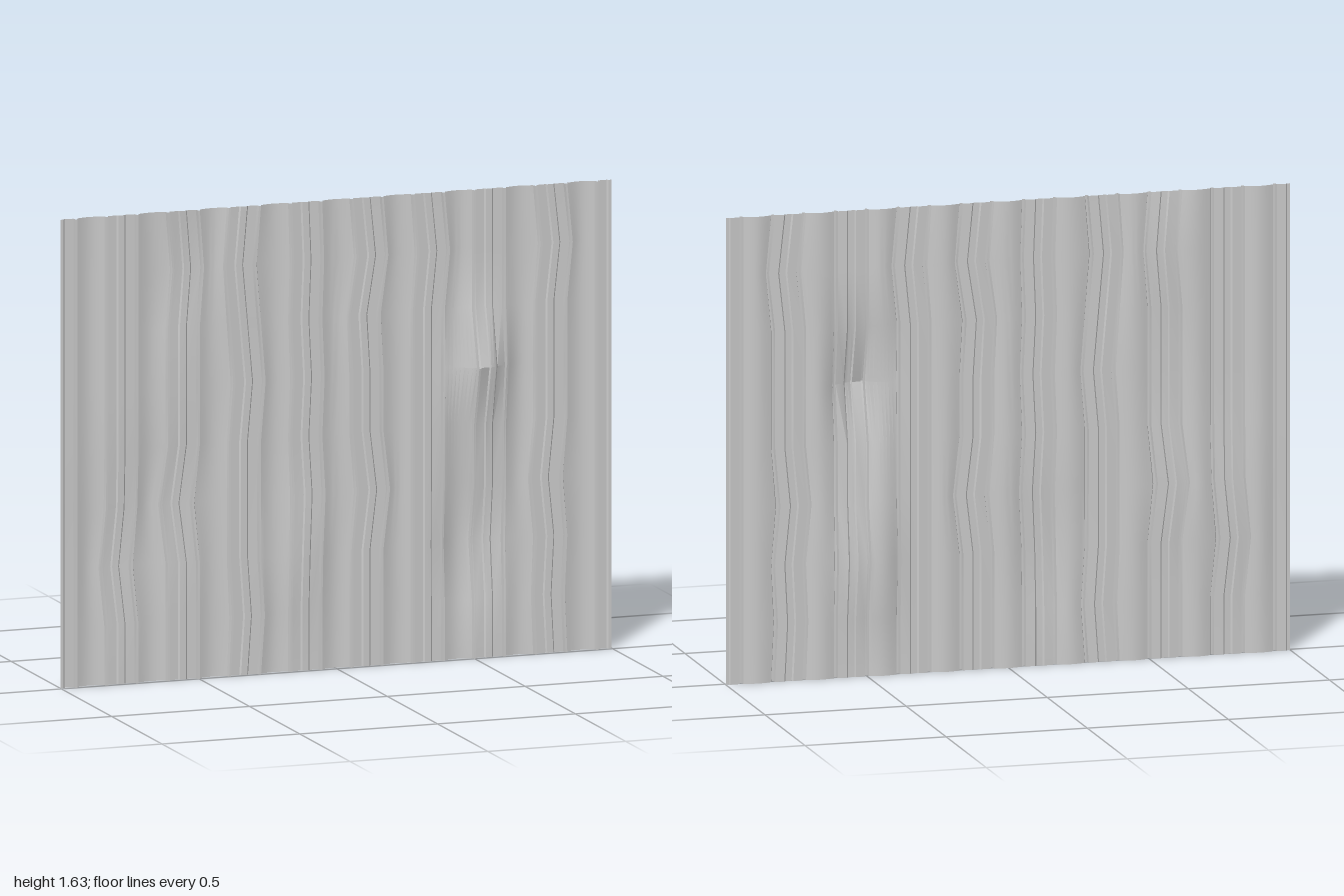
import * as THREE from 'three';
import { toCreasedNormals } from 'three/addons/utils/BufferGeometryUtils.js';

const HEIGHT = 1.63, ROWS = 8, BAYS = 9, PITCH = 2 / BAYS;

// One pitch of the sheet, [offset, z]: ribbed bay, rib, arched panel, rib, ribbed bay
function pitchProfile() {
  const half = [[0, -0.01], [0.011, -0.01], [0.016, -0.015], [0.048, -0.013], [0.051, 0], [0.058, 0], [0.062, -0.012]];
  for (let i = 1; i <= 4; i++) {
    const t = i / 4;
    half.push([0.062 + (PITCH / 2 - 0.062) * t, -0.012 - 0.01 * Math.sin(t * Math.PI / 2)]);
  }
  const mirrored = half.slice(0, -1).reverse().map(([x, z]) => [PITCH - x, z]);
  return [...half, ...mirrored];
}

// Dents: x centre, row, x radius, sideways shift, depth
const DENTS = [
  [-0.78, 2, 0.17, -0.02, -0.01],
  [-0.56, 7, 0.17, 0.02, -0.012],
  [-0.57, 3, 0.17, -0.022, -0.014],
  [-0.75, 3, 0.25, 0, -0.01],
  [-0.33, 7, 0.15, -0.018, 0],
  [-0.33, 5, 0.15, 0.018, 0],
  [-0.32, 1, 0.15, 0.014, 0],
  [-0.11, 7, 0.14, 0.008, 0],
  [-0.11, 5, 0.14, 0.01, 0],
  [-0.1, 3, 0.14, 0.012, 0],
  [-0.14, 2, 0.2, 0, 0.015],
  [0.11, 7, 0.15, 0.02, 0],
  [0.11, 6, 0.15, -0.012, 0],
  [0.12, 3, 0.15, 0.024, 0],
  [0.34, 7, 0.15, 0.02, 0],
  [0.52, 5, 0.17, 0, 0.055],
  [0.5, 2, 0.18, 0, -0.036],
  [0.78, 7, 0.15, 0.022, 0],
  [0.77, 3, 0.16, -0.02, 0],
  [0.78, 1, 0.15, -0.01, 0],
];

function dentAt(x, row) {
  let dx = 0, dz = 0;
  for (const [cx, r, radius, sx, sz] of DENTS) {
    const d = Math.abs(x - cx) / radius;
    if (r !== row || d >= 1) continue;
    const w = 0.5 + 0.5 * Math.cos(Math.PI * d);
    dx += sx * Math.min(1, w * 1.3);
    dz += sz * w;
  }
  return [dx, dz];
}

export function createModel() {
  // Repeat the pitch across the full width
  const profile = [];
  for (let b = 0; b < BAYS; b++) {
    for (const [x, z] of pitchProfile().slice(b ? 1 : 0)) profile.push([-1 + b * PITCH + x, z]);
  }

  // Stack the cross-section in rows, pushed about by the dents
  const positions = [], indices = [], n = profile.length;
  for (let r = 0; r <= ROWS; r++) {
    for (const [x, z] of profile) {
      const [dx, dz] = dentAt(x, r);
      positions.push(x + dx, HEIGHT * r / ROWS, z + dz);
    }
  }
  for (let r = 0; r < ROWS; r++) {
    for (let i = 0; i < n - 1; i++) {
      const a = r * n + i, c = a + n;
      indices.push(a, a + 1, c + 1, a, c + 1, c);
    }
  }
  const geometry = new THREE.BufferGeometry();
  geometry.setAttribute('position', new THREE.Float32BufferAttribute(positions, 3));
  geometry.setIndex(indices);

  const sheet = new THREE.Mesh(
    toCreasedNormals(geometry, 0.5),
    new THREE.MeshStandardMaterial({ color: 0xcccccc, side: THREE.DoubleSide })
  );
  sheet.name = 'corrugatedSheet';
  const group = new THREE.Group();
  group.name = 'dentedCorrugatedPanel';
  group.add(sheet);
  return group;
}
